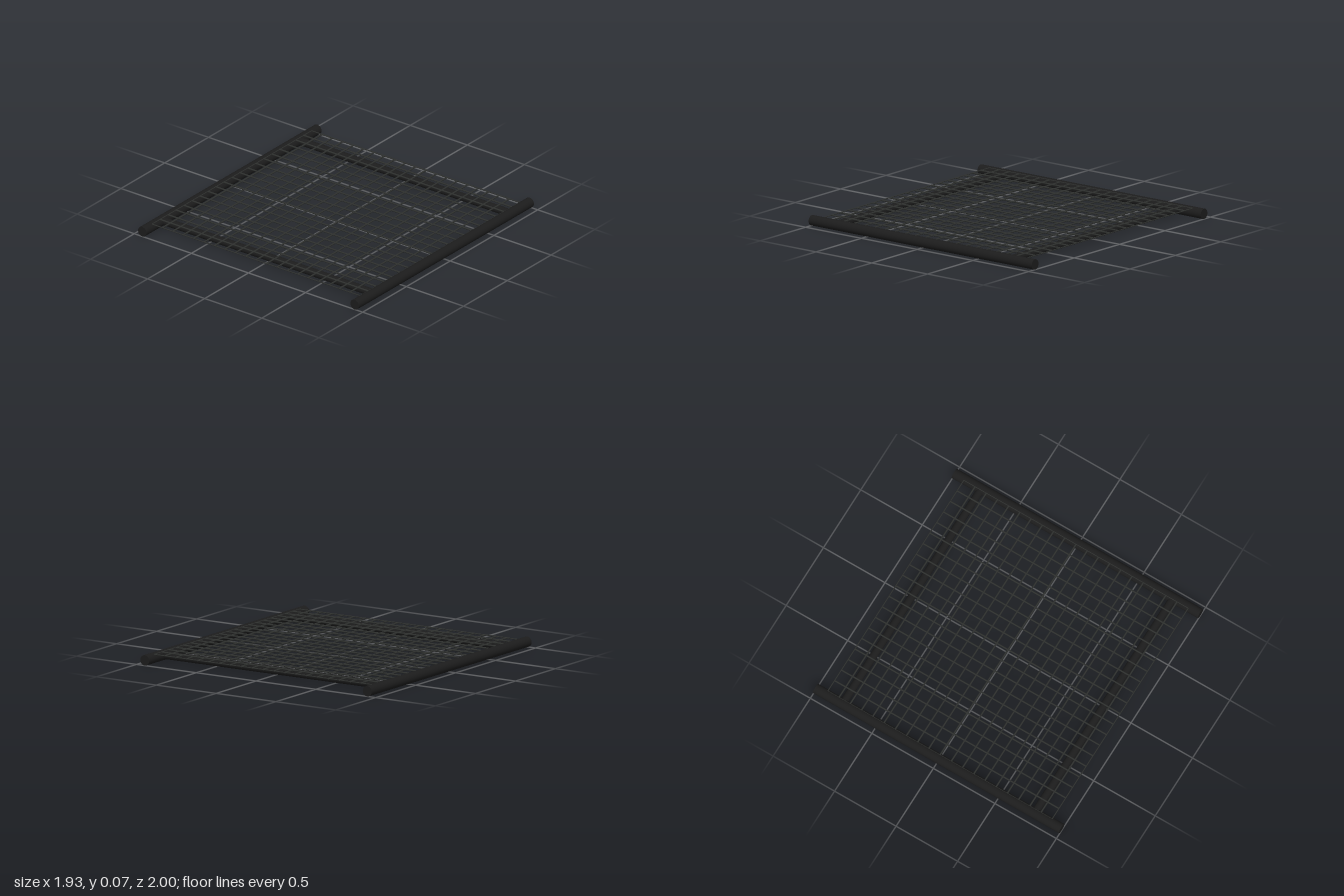
import * as THREE from 'three';

export function createModel() {
  const model = new THREE.Group();
  model.name = 'meshPanel';

  const frameBlack = new THREE.MeshStandardMaterial({ color: 0x1c1c1c });
  frameBlack.name = 'frameBlack';
  const wireGrey = new THREE.MeshStandardMaterial({ color: 0x2e302e });
  wireGrey.name = 'wireGrey';

  // Round rod centred at (x, y, z), lying along the x or z axis
  function rod(name, axis, radius, length, x, y, z, material, sides, parent = model) {
    const geometry = new THREE.CylinderGeometry(radius, radius, length, sides);
    if (axis === 'x') geometry.rotateZ(Math.PI / 2);
    else geometry.rotateX(Math.PI / 2);
    const mesh = new THREE.Mesh(geometry, material);
    mesh.name = name;
    mesh.position.set(x, y, z);
    parent.add(mesh);
  }

  // Side rails and the cross bars joining them
  for (const s of [-1, 1]) {
    const side = s > 0 ? 'left' : 'right';
    const end = s > 0 ? 'front' : 'back';
    rod(side + 'Rail', 'z', 0.037, 2, s * 0.93, 0.037, 0, frameBlack, 32);
    rod(end + 'CrossBar', 'x', 0.028, 1.86, 0, 0.039, s * 0.78, frameBlack, 24);
  }

  // Wire grid lying on the cross bars, with thinner wires at its edges
  const grid = new THREE.Group();
  grid.name = 'wireGrid';
  model.add(grid);
  const half = 0.912, cells = 20;
  for (let i = 0; i <= cells; i++) {
    const p = -half + (2 * half * i) / cells;
    const radius = i === 0 || i === cells ? 0.004 : 0.006;
    rod('crossWire', 'x', radius, 2 * half, 0, 0.066, p, wireGrey, 8, grid);
    rod('lengthWire', 'z', radius, 2 * half, p, 0.066, 0, wireGrey, 8, grid);
  }

  return model;
}
